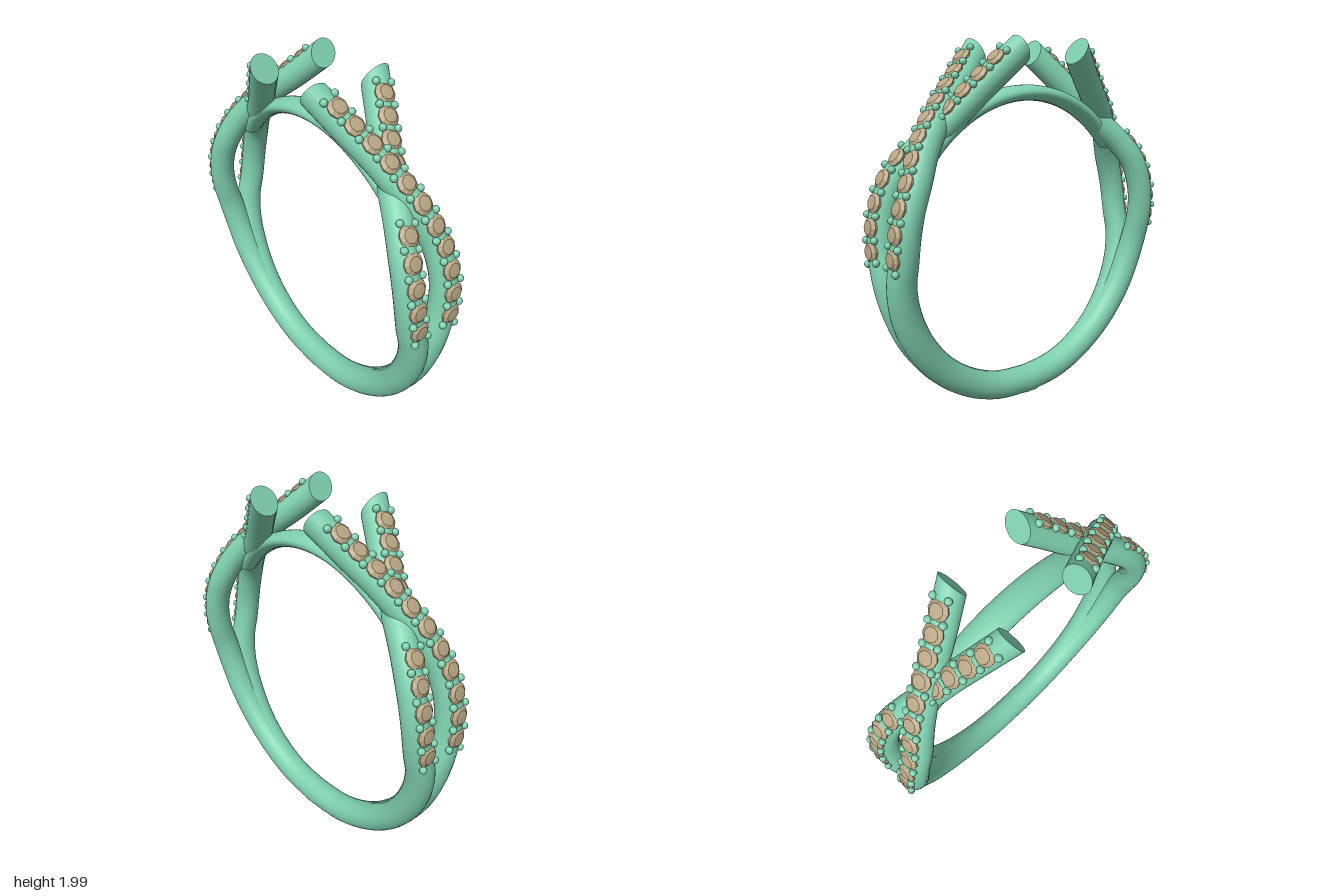
import * as THREE from 'three';

const metal = new THREE.MeshStandardMaterial({ color: 0x7fd0ae });
const stone = new THREE.MeshStandardMaterial({ color: 0xb8a684, flatShading: true });
const CENTRE = 0.92; // height of the ring's axis

const onRing = (deg, r, z = 0) => {
  const a = THREE.MathUtils.degToRad(deg);
  return new THREE.Vector3(r * Math.cos(a), CENTRE + r * Math.sin(a), z);
};

// Position, tangent, outward normal and sideways direction along a curve
function frameAt(curve, u) {
  const p = curve.getPointAt(u);
  const t = curve.getTangentAt(u);
  const n = new THREE.Vector3(t.y, -t.x, 0).normalize();
  return { p, t, n, b: new THREE.Vector3().crossVectors(t, n) };
}

// Sweeps an ellipse along a curve; the last ring may be cut by a plane and capped
function sweep(curve, size, segs, cut) {
  const sides = 28, pos = [], idx = [];
  for (let i = 0; i <= segs; i++) {
    const u = i / segs, f = frameAt(curve, u), [rn, rb] = size(u);
    for (let j = 0; j <= sides; j++) {
      const a = (j / sides) * Math.PI * 2;
      const v = f.n.clone().multiplyScalar(rn * Math.cos(a)).addScaledVector(f.b, rb * Math.sin(a));
      if (cut && i === segs) v.addScaledVector(f.t, -v.dot(cut) / f.t.dot(cut));
      v.add(f.p);
      pos.push(v.x, v.y, v.z);
    }
  }
  const row = sides + 1;
  for (let i = 0; i < segs; i++) {
    for (let j = 0; j < sides; j++) {
      const a = i * row + j, c = a + row;
      idx.push(a, a + 1, c, a + 1, c + 1, c);
    }
  }
  if (cut) {
    // Flat cap with its own vertices so the rim stays sharp
    const last = segs * row, base = pos.length / 3;
    for (let j = 0; j <= sides; j++) pos.push(...pos.slice((last + j) * 3, (last + j) * 3 + 3));
    pos.push(...curve.getPointAt(1).toArray());
    for (let j = 0; j < sides; j++) idx.push(base + row, base + j, base + j + 1);
  }
  const g = new THREE.BufferGeometry();
  g.setAttribute('position', new THREE.Float32BufferAttribute(pos, 3));
  g.setIndex(idx);
  g.computeVertexNormals();
  return g;
}

// Path from the bottom of the ring up to a free end; zs mirrors it, lift moves the crossing outward
function strandCurve(zs, lift) {
  const pts = [
    [-93, 0], [-75, 0.001], [-60, 0.004], [-45, 0.012], [-30, 0.026], [-17, 0.043], [-6, 0.07],
  ].map(([deg, z]) => onRing(deg, 0.835, -z * zs));
  const upper = [
    [0.83, 0.96, -0.1, 0], [0.822, 1.08, -0.114, 0], [0.795, 1.2, -0.114, 0],
    [0.745, 1.32, -0.1, 0], [0.665, 1.45, -0.055, 0.6], [0.56, 1.568, 0, 1],
    [0.45, 1.68, 0.05, 0.8], [0.33, 1.795, 0.11, 0.3], [0.195, 1.93, 0.18, 0],
  ];
  for (const [x, y, z, k] of upper) {
    pts.push(new THREE.Vector3(x + k * lift, y + k * lift, z * zs));
  }
  return new THREE.CatmullRomCurve3(pts, false, 'centripetal');
}

// Faceted stone: short pavilion, girdle, crown and table
const gemGeo = new THREE.LatheGeometry(
  [[0, -0.03], [0.052, -0.012], [0.055, 0], [0.036, 0.014], [0, 0.016]].map(([x, y]) => new THREE.Vector2(x, y)), 10);
const beadGeo = new THREE.SphereGeometry(0.019, 12, 9);
const endCut = new THREE.Vector3(-0.89, 0.45, 0);

function makeStrand(zs, lift, isHidden) {
  const strand = new THREE.Group();
  const curve = strandCurve(zs, lift);
  const size = (u) => {
    const r = 0.078 - 0.007 * THREE.MathUtils.smoothstep(u, 0.35, 0.55);
    return [r, r];
  };
  const band = new THREE.Mesh(sweep(curve, size, 72, endCut), metal);
  band.name = 'band';
  strand.add(band);

  // Row of stones with a pair of beads in every gap
  const count = 11, first = 0.535, step = 0.0422;
  for (let i = 0; i < count; i++) {
    if (isHidden(i)) continue;
    const f = frameAt(curve, first + i * step);
    const gem = new THREE.Mesh(gemGeo, stone);
    gem.name = 'stone';
    gem.position.copy(f.p).addScaledVector(f.n, 0.064);
    gem.quaternion.setFromRotationMatrix(new THREE.Matrix4().makeBasis(f.t, f.n, f.b));
    strand.add(gem);
  }
  for (let i = 0; i <= count; i++) {
    if (isHidden(i) && isHidden(i - 1)) continue;
    const f = frameAt(curve, first + (i - 0.5) * step);
    for (const side of [-1, 1]) {
      const bead = new THREE.Mesh(beadGeo, metal);
      bead.name = 'bead';
      bead.position.copy(f.p).addScaledVector(f.n, 0.064).addScaledVector(f.b, side * 0.041);
      strand.add(bead);
    }
  }
  return strand;
}

export function createModel() {
  const ring = new THREE.Group();
  ring.name = 'ring';

  // Each half has an outer and an inner strand that cross; the halves are half a turn apart
  for (const [name, turn] of [['left', 0], ['right', Math.PI]]) {
    const half = new THREE.Group();
    half.name = name + 'Half';
    half.rotation.y = turn;
    const outer = makeStrand(1, 0.012, () => false);
    outer.name = 'outerStrand';
    const inner = makeStrand(-1, -0.018, (i) => i === 5 || i === 6);
    inner.name = 'innerStrand';
    half.add(outer, inner);
    ring.add(half);
  }

  // Thin bridge closing the finger hole at the top
  const arc = [];
  for (let deg = 38; deg <= 142; deg += 8) arc.push(onRing(deg, 0.798));
  const bridgeSize = (u) => {
    const k = Math.abs(2 * u - 1) ** 3;
    return [0.042, 0.08 - 0.025 * k];
  };
  const bridge = new THREE.Mesh(sweep(new THREE.CatmullRomCurve3(arc), bridgeSize, 40), metal);
  bridge.name = 'bridge';
  ring.add(bridge);
  return ring;
}
